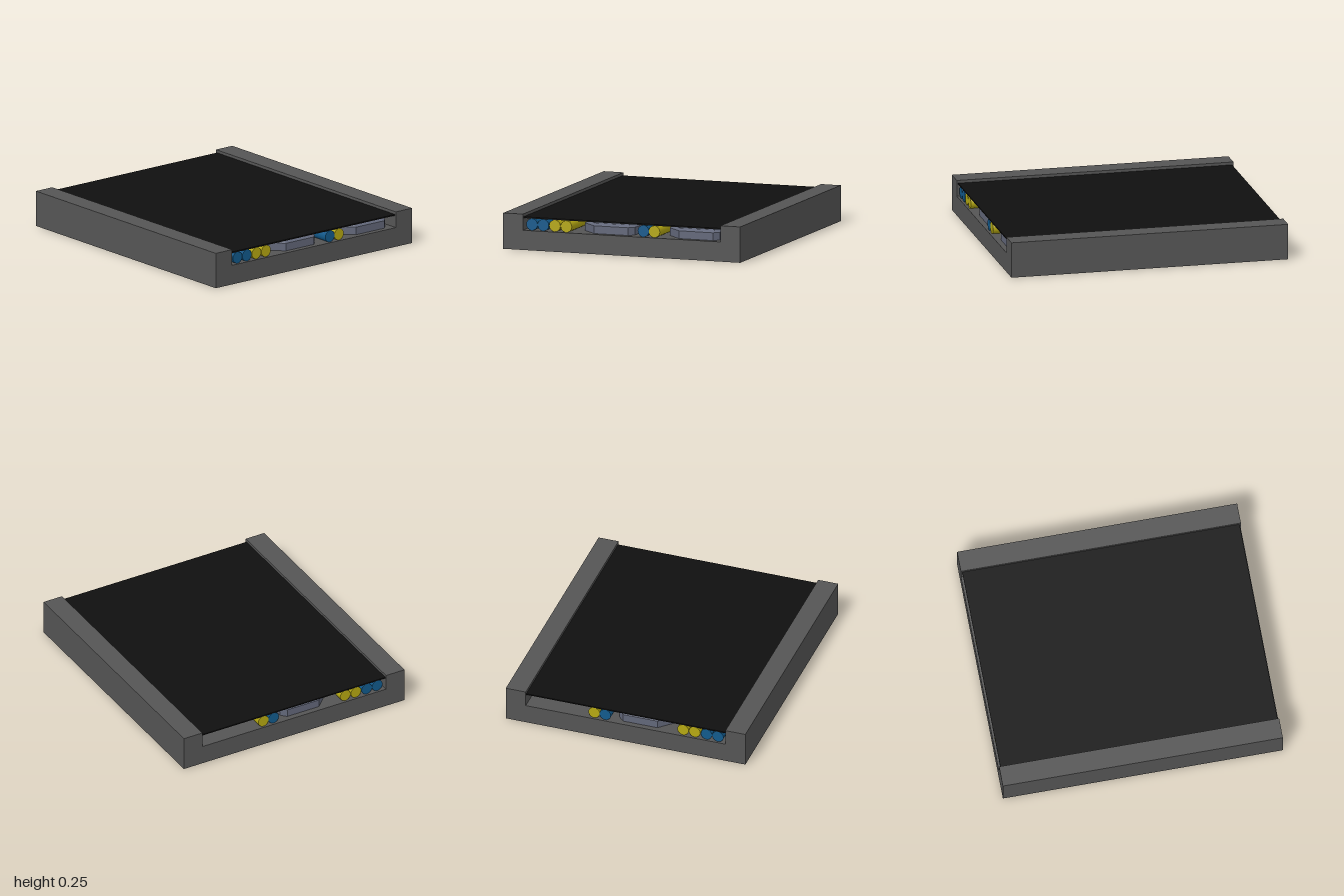
import * as THREE from 'three';
import { ConvexGeometry } from 'three/addons/geometries/ConvexGeometry.js';

const mat = (color, flatShading = false) => new THREE.MeshStandardMaterial({ color, flatShading });
const FLOOR = 0.14, R = 0.042;

export function createModel() {
  const group = new THREE.Group();
  const channelMat = mat(0x555555, true);
  const coverMat = mat(0x101010, true);
  const blue = mat(0x125a8c);
  const yellow = mat(0xb5a812);
  const boxMat = mat(0x626779, true);

  const add = (name, geometry, material) => {
    const mesh = new THREE.Mesh(geometry, material);
    mesh.name = name;
    group.add(mesh);
    return mesh;
  };

  // U-shaped channel, open at both ends
  const section = new THREE.Shape([
    [-0.89, 0], [0.89, 0], [0.89, 0.255], [0.742, 0.255],
    [0.742, FLOOR], [-0.742, FLOOR], [-0.742, 0.255], [-0.89, 0.255],
  ].map(([z, y]) => new THREE.Vector2(z, y)));
  const channel = new THREE.ExtrudeGeometry(section, { depth: 2, bevelEnabled: false });
  channel.translate(0, 0, -1).rotateY(-Math.PI / 2);
  add('channel', channel, channelMat);

  // Thin dark cover between the rims
  add('coverPlate', new THREE.BoxGeometry(1.98, 0.009, 1.484), coverMat).position.y = 0.23;

  // Cables running the length of the channel
  const cables = [[0.68, blue], [0.595, blue], [0.508, yellow], [0.422, yellow], [-0.157, blue], [-0.239, yellow]];
  for (const [z, material] of cables) {
    const cable = new THREE.CylinderGeometry(R, R, 1.97, 24).rotateZ(Math.PI / 2);
    add('cable', cable, material).position.set(0, FLOOR + R, z);
  }

  // Cables branching off to the back wall
  for (const [x, start, material] of [[-0.1, -0.157, blue], [0.05, -0.239, yellow]]) {
    const path = new THREE.CurvePath();
    const p = (px, pz) => new THREE.Vector3(px, FLOOR + R, pz);
    path.add(new THREE.QuadraticBezierCurve3(p(x - 0.16, start), p(x, start), p(x, start - 0.16)));
    path.add(new THREE.LineCurve3(p(x, start - 0.16), p(x, -0.742)));
    add('branchCable', new THREE.TubeGeometry(path, 32, R, 16), material);
  }

  // Low boxes with clipped corners and a bevelled top
  const clippedBox = (name, zFront, x0, x1) => {
    const zBack = zFront - 0.404;
    const ring = (y, d) => [
      [x1 - d, zFront - 0.11], [x1 - d, zBack + 0.038], [x1 - 0.04, zBack + d], [x0 + 0.04, zBack + d],
      [x0 + d, zBack + 0.038], [x0 + d, zFront - 0.11], [x0 + 0.11, zFront - d], [x1 - 0.11, zFront - d],
    ].map(([x, z]) => new THREE.Vector3(x, y, z));
    add(name, new ConvexGeometry([...ring(FLOOR, 0), ...ring(0.195, 0), ...ring(0.21, 0.03)]), boxMat);
  };
  clippedBox('middleBox', 0.333, -0.96, 0.96);
  clippedBox('cornerBox', -0.305, 0.3, 0.96);

  return group;
}
